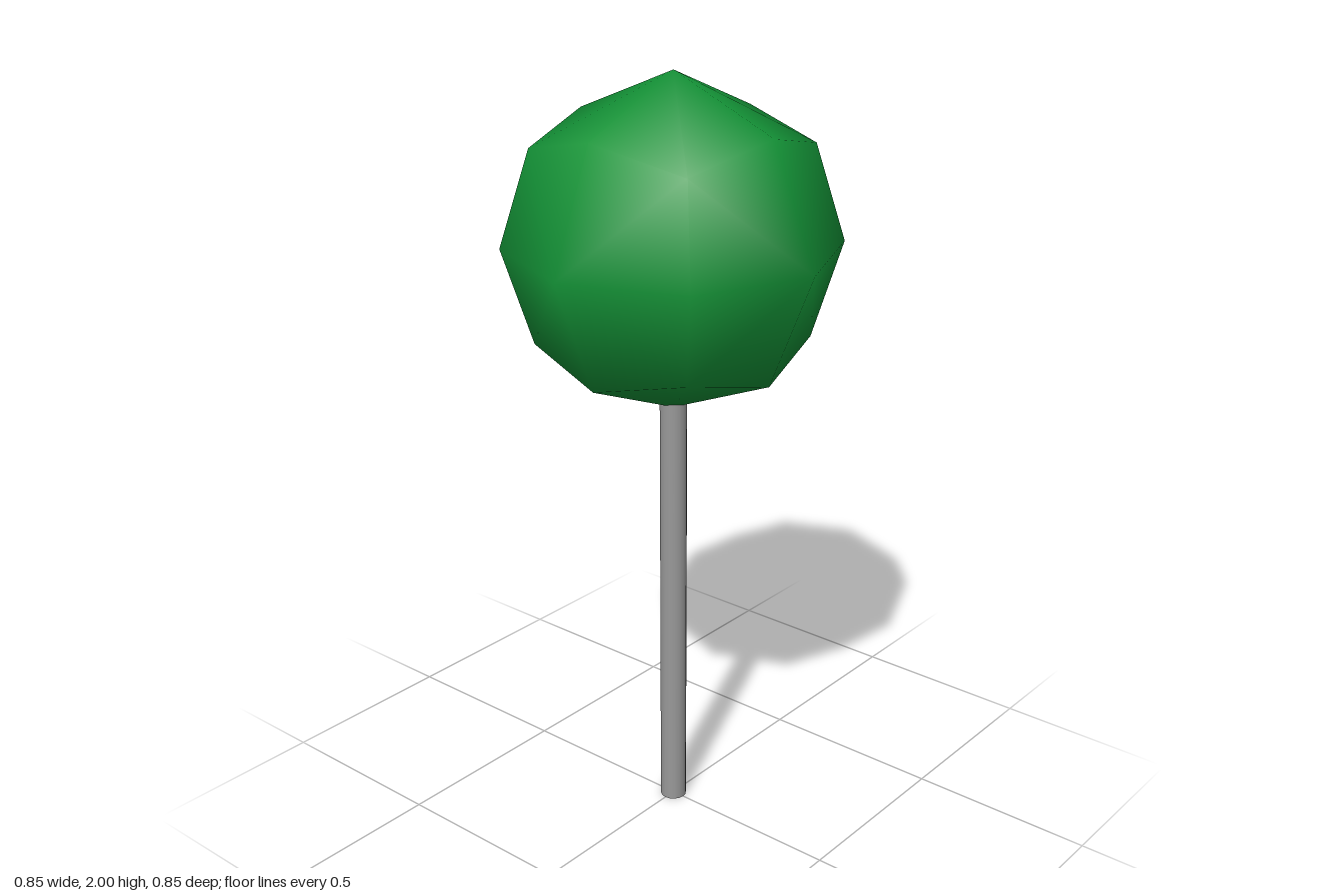
import * as THREE from 'three';
import { ConvexGeometry } from 'three/addons/geometries/ConvexGeometry.js';

// Ball made from a cube grid of corners, edge middles and face middles, all pushed out to one radius
function cubeSphere(radius) {
  const points = [];
  for (let x = -1; x <= 1; x++) {
    for (let y = -1; y <= 1; y++) {
      for (let z = -1; z <= 1; z++) {
        if (x || y || z) points.push(new THREE.Vector3(x, y, z).setLength(radius));
      }
    }
  }
  const geometry = new ConvexGeometry(points);
  // Smooth shading: normals point straight out from the middle
  geometry.setAttribute('normal', geometry.attributes.position.clone());
  geometry.normalizeNormals();
  return geometry;
}

export function createModel() {
  const group = new THREE.Group();
  const crownRadius = 0.424;
  const trunkHeight = 1.2;

  const addPart = (name, geometry, color, y) => {
    const mesh = new THREE.Mesh(geometry, new THREE.MeshStandardMaterial({ color }));
    mesh.name = name;
    mesh.position.y = y;
    group.add(mesh);
  };

  // Slim round trunk, its top hidden inside the crown
  addPart('trunk', new THREE.CylinderGeometry(0.035, 0.035, trunkHeight, 16), 0x999999, trunkHeight / 2);

  // Low-poly, smooth-shaded ball of leaves
  addPart('crown', cubeSphere(crownRadius), 0x149337, 2 - crownRadius);

  return group;
}
